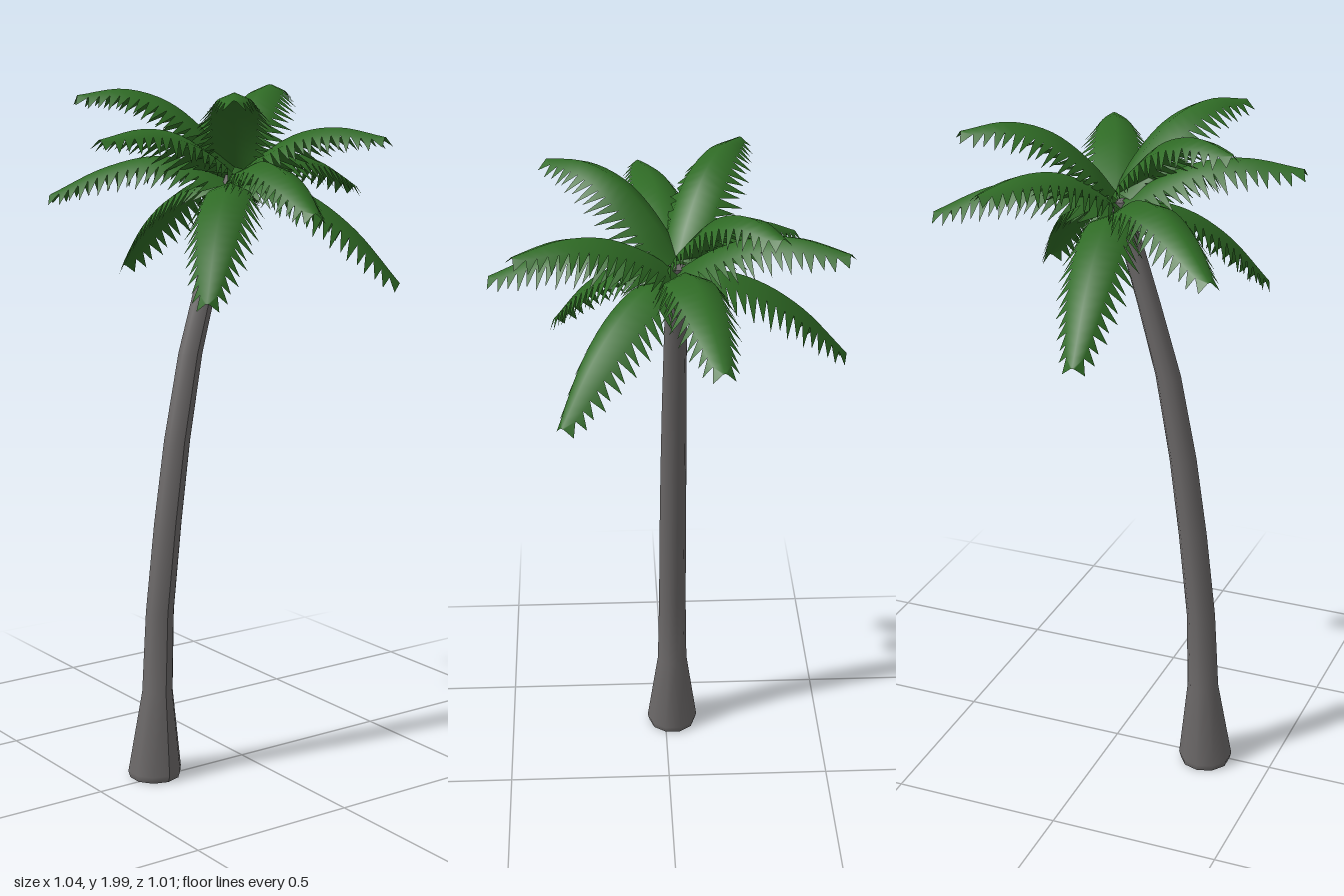
import * as THREE from 'three';

const bark = new THREE.MeshStandardMaterial({ color: 0x6b6868, side: THREE.DoubleSide });
bark.name = 'bark grey';
const leaf = new THREE.MeshStandardMaterial({ color: 0x2f6b25, side: THREE.DoubleSide });
leaf.name = 'leaf green';

const CENTRE_Z = -0.022;

// Leaning trunk: a cylinder whose rows are moved onto rings of [x, y, radius]
function makeTrunk() {
  const rings = [
    [-0.3, 0, 0.074], [-0.3, 0.02, 0.08], [-0.288, 0.26, 0.046], [-0.277, 0.5, 0.042],
    [-0.247, 0.76, 0.041], [-0.213, 1.0, 0.039], [-0.165, 1.25, 0.036],
    [-0.105, 1.46, 0.033], [-0.05, 1.64, 0.031], [-0.012, 1.75, 0.026],
  ];
  const n = rings.length - 1;
  const geo = new THREE.CylinderGeometry(1, 1, n, 10, n);
  const p = geo.attributes.position;
  for (let i = 0; i < p.count; i++) {
    const [x, y, r] = rings[Math.round(p.getY(i) + n / 2)];
    p.setXYZ(i, x + p.getX(i) * r, y, CENTRE_Z + p.getZ(i) * r);
  }
  geo.computeVertexNormals();
  const mesh = new THREE.Mesh(geo, bark);
  mesh.name = 'trunk';
  return mesh;
}

// Frond: a folded strip along a curved rib, with a row of forward-leaning teeth on each side
function makeFrond(profile, length) {
  const N = 18;
  const rib = new THREE.CatmullRomCurve3(
    profile.map(([r, y]) => new THREE.Vector3(r * length, y, 0)));
  const halfWidth = (t) => 0.022 + 0.083 * Math.pow(Math.sin(Math.PI * Math.pow(0.12 + 0.88 * t, 0.8)), 0.7);
  const verts = [], index = [];
  const place = (t, along, out, drop) => {
    const c = rib.getPointAt(t), d = rib.getTangentAt(t);
    verts.push(c.x + d.x * along + d.y * drop, c.y + d.y * along - d.x * drop, out);
  };

  for (let i = 0; i <= N; i++) place(i / N, 0, 0, 0);
  for (const side of [1, -1]) {
    const mid = verts.length / 3;
    for (let i = 0; i <= N; i++) {
      const w = halfWidth(i / N) * (i === N ? 0.25 : 0.58);
      place(i / N, 0, side * w, w * 0.42);
    }
    const tooth = verts.length / 3;
    for (let i = 0; i < N; i++) {
      const t = (i + 0.5) / N, w = halfWidth(t) * (i % 2 ? 0.92 : 1.04);
      place(t, 0.026, side * w, w * 0.8);
    }
    const tri = (a, b, c) => (side > 0 ? index.push(a, b, c) : index.push(a, c, b));
    for (let i = 0; i < N; i++) {
      tri(i, mid + i, i + 1);
      tri(mid + i, mid + i + 1, i + 1);
      tri(mid + i, tooth + i, mid + i + 1);
    }
  }
  const geo = new THREE.BufferGeometry();
  geo.setAttribute('position', new THREE.Float32BufferAttribute(verts, 3));
  geo.setIndex(index);
  geo.computeVertexNormals();
  return new THREE.Mesh(geo, leaf);
}

// Four tiers of three fronds: rib profile as [share of length, y], and the tips as [x, z]
const tiers = [
  { name: 'topFrond',
    profile: [[0, 1.77], [0.16, 1.86], [0.42, 1.955], [0.7, 1.992], [1, 1.975]],
    tips: [[-0.41, -0.22], [0.34, -0.275], [-0.26, 0.33]] },
  { name: 'upperFrond',
    profile: [[0, 1.74], [0.2, 1.815], [0.45, 1.875], [0.7, 1.892], [1, 1.87]],
    tips: [[0.2, -0.47], [-0.515, 0.07], [0.18, 0.42]] },
  { name: 'lowerFrond',
    profile: [[0, 1.72], [0.2, 1.78], [0.42, 1.8], [0.7, 1.765], [1, 1.685]],
    tips: [[0.51, -0.12], [-0.12, 0.5], [-0.41, -0.385]] },
  { name: 'hangingFrond',
    profile: [[0, 1.71], [0.2, 1.735], [0.45, 1.695], [0.72, 1.6], [1, 1.445]],
    tips: [[-0.08, -0.51], [-0.345, 0.325], [0.34, 0.3]] },
];

export function createModel() {
  const model = new THREE.Group();
  model.name = 'palmTree';
  model.add(makeTrunk());

  const crown = new THREE.Group();
  crown.name = 'crown';
  crown.position.set(-0.01, 0, CENTRE_Z);
  for (const { name, profile, tips } of tiers) {
    tips.forEach(([x, z], i) => {
      const dx = x - crown.position.x, dz = z - CENTRE_Z;
      const frond = makeFrond(profile, Math.hypot(dx, dz));
      frond.name = name + (i + 1);
      frond.rotation.y = -Math.atan2(dz, dx);
      crown.add(frond);
    });
  }
  model.add(crown);
  return model;
}
